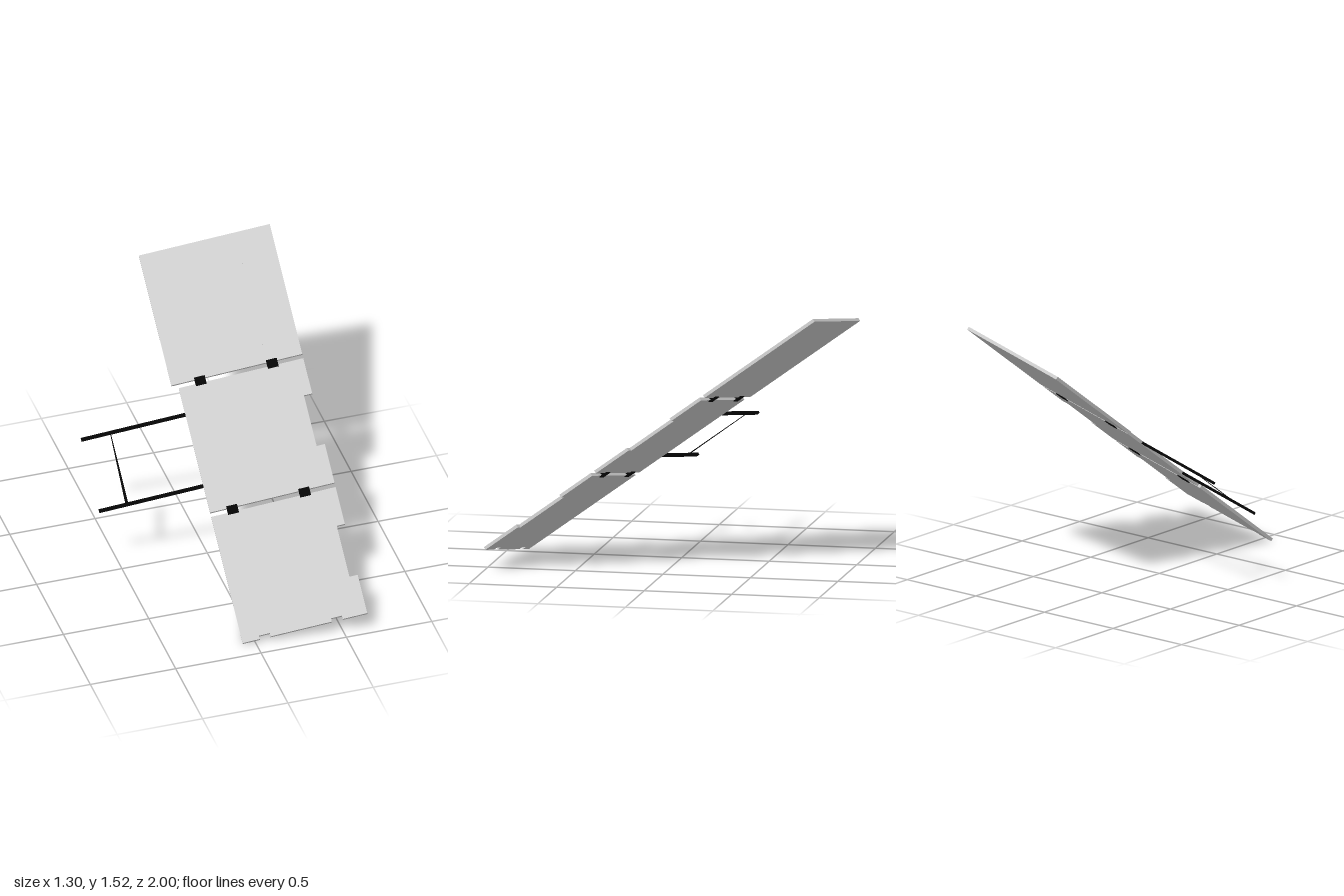
import * as THREE from 'three';

const THICK = 0.018;
const grey = new THREE.MeshStandardMaterial({ color: 0xcccccc, flatShading: true });
const black = new THREE.MeshStandardMaterial({ color: 0x050505, flatShading: true });
const blackThin = new THREE.MeshStandardMaterial({ color: 0x050505, side: THREE.DoubleSide });

// Wing coordinates: s runs across (0 = right-hand edge in front), t runs down the slope, n is the surface normal.
function box(name, material, [s, t, n], [ds, dt, dn]) {
  const mesh = new THREE.Mesh(new THREE.BoxGeometry(ds, dt, dn), material);
  mesh.position.set(s, -t, n);
  mesh.name = name;
  return mesh;
}

// Flat slab from an outline of [s, t] points
function slab(name, outline) {
  const shape = new THREE.Shape(outline.map(([s, t]) => new THREE.Vector2(s, -t)));
  const geometry = new THREE.ExtrudeGeometry(shape, { depth: THICK, bevelEnabled: false });
  geometry.translate(0, 0, -THICK);
  const mesh = new THREE.Mesh(geometry, grey);
  mesh.name = name;
  return mesh;
}

// Rectangular notch in the side edge
const sideNotch = (t0, t1) => [[0, t0], [-0.047, t0], [-0.047, t1], [0, t1]];
// Rectangular notch in the lower edge
const endNotch = (s0, s1, t) => [[s0, t], [s0, t - 0.02], [s1, t - 0.02], [s1, t]];

export function createModel() {
  const model = new THREE.Group();
  model.name = 'foldingPanelWing';
  const wing = new THREE.Group();
  wing.name = 'wing';
  model.add(wing);

  // Three panels in a row
  wing.add(slab('upperPanel', [[-0.753, 0], [0, 0], [0, 0.78], [-0.753, 0.78]]));
  wing.add(slab('middlePanel', [
    [-0.716, 0.805], [0, 0.805], ...sideNotch(1.017, 1.32), [0, 1.552], [-0.716, 1.552],
  ]));
  wing.add(slab('lowerPanel', [
    [-0.716, 1.578], [0, 1.578], ...sideNotch(1.8, 2.105), [0, 2.335],
    ...endNotch(-0.141, -0.203, 2.335), ...endNotch(-0.556, -0.618, 2.335), [-0.716, 2.335],
  ]));

  // Small studs on the upper panel
  for (const t of [0.183, 0.332, 0.482, 0.672]) {
    const stud = new THREE.Mesh(new THREE.CylinderGeometry(0.003, 0.003, 0.003, 8), grey);
    stud.rotation.x = Math.PI / 2;
    stud.position.set(-0.201, -t, 0.001);
    stud.name = 'stud';
    wing.add(stud);
  }

  // Hinges: a leaf above and below each joint, with a pin in the gap
  for (const t of [0.7925, 1.565]) {
    for (const s of [-0.589, -0.175]) {
      const hinge = new THREE.Group();
      hinge.name = 'hinge';
      for (const n of [0.002, -THICK - 0.002]) {
        hinge.add(box('hingeLeaf', black, [s, t, n], [0.062, 0.05, 0.006]));
      }
      const pin = new THREE.Mesh(new THREE.CylinderGeometry(0.009, 0.009, 0.062, 12), black);
      pin.rotation.z = Math.PI / 2;
      pin.position.set(s, -t, -THICK / 2);
      pin.name = 'hingePin';
      hinge.add(pin);
      wing.add(hinge);
    }
  }

  // Two side booms
  for (const t of [0.962, 1.39]) {
    wing.add(box('boom', black, [-1.016, t, -0.008], [0.6, 0.019, 0.014]));
  }

  // Thin tapered strut between the booms
  const strutShape = new THREE.Shape([
    [-1.163, -1.385], [-1.146, -1.385], [-1.146, -0.965], [-1.15, -0.965],
  ].map(([x, y]) => new THREE.Vector2(x, y)));
  const strutGeometry = new THREE.ExtrudeGeometry(strutShape, { depth: 0.003, bevelEnabled: false });
  const strut = new THREE.Mesh(strutGeometry, blackThin);
  strut.position.z = -0.0095;
  strut.name = 'strut';
  wing.add(strut);

  // Tilt the whole wing into place from its far upper corner
  const up = new THREE.Vector3(0.0094, 0.59, -0.807).normalize();
  const across = new THREE.Vector3(0.976, 0.172, 0.137);
  const normal = across.clone().cross(up).normalize();
  across.crossVectors(up, normal);
  wing.quaternion.setFromRotationMatrix(new THREE.Matrix4().makeBasis(across, up, normal));
  wing.position.set(0.645, 1.515, -0.888);
  return model;
}
